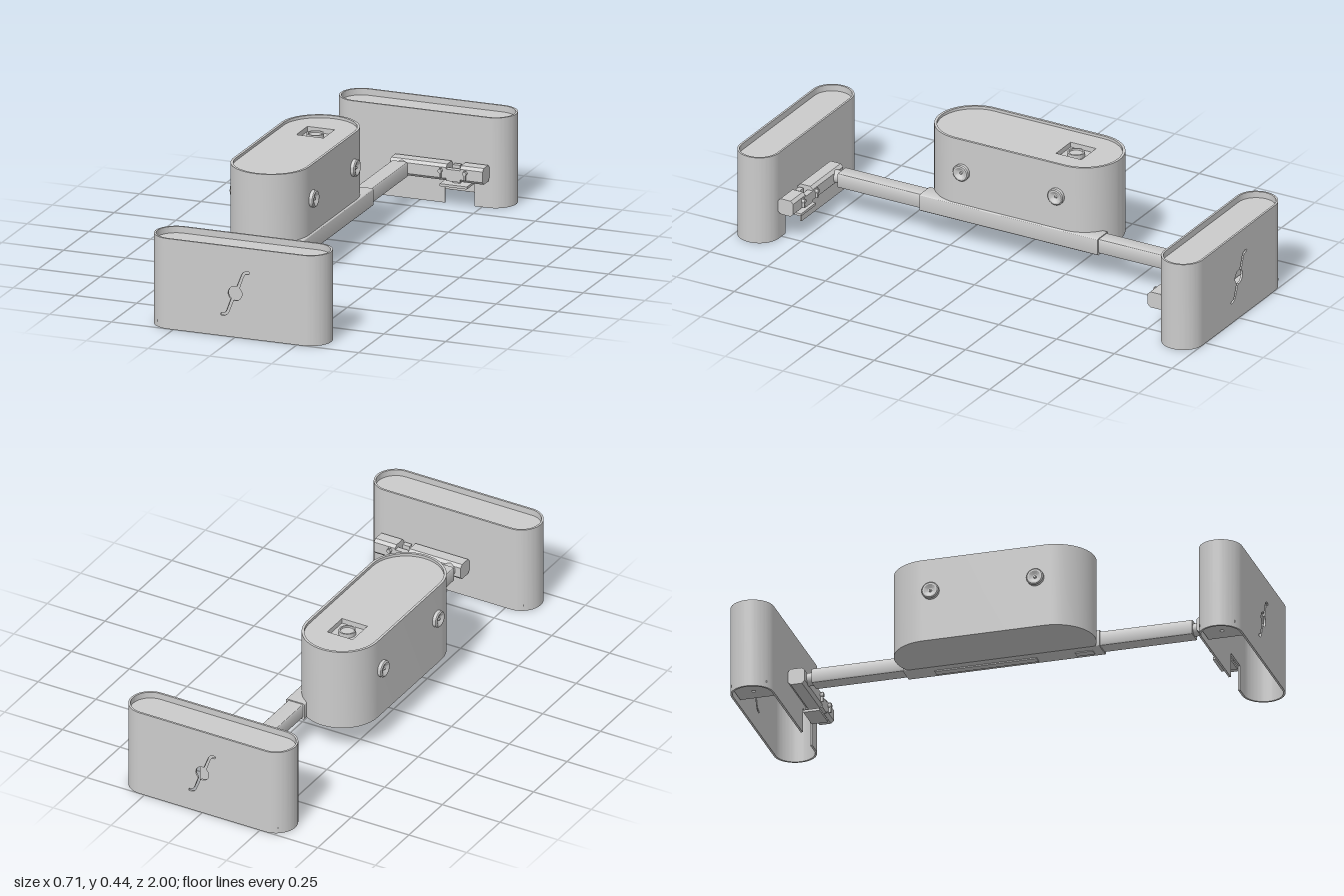
import * as THREE from 'three';
import { toCreasedNormals } from 'three/addons/utils/BufferGeometryUtils.js';

const material = new THREE.MeshStandardMaterial({ color: 0xcccccc });

function addMesh(parent, name, geometry, x = 0, y = 0, z = 0) {
  const mesh = new THREE.Mesh(geometry, material);
  mesh.name = name;
  mesh.position.set(x, y, z);
  parent.add(mesh);
  return mesh;
}

// Box given by its extents
function addBox(parent, name, x0, x1, y0, y1, z0, z1) {
  const g = new THREE.BoxGeometry(x1 - x0, y1 - y0, Math.abs(z1 - z0));
  return addMesh(parent, name, g, (x0 + x1) / 2, (y0 + y1) / 2, (z0 + z1) / 2);
}

function extrude(shape, depth) {
  const g = new THREE.ExtrudeGeometry(shape, { depth, bevelEnabled: false, curveSegments: 24 });
  return toCreasedNormals(g, 0.6);
}

// Extrudes a plan outline upwards from y = 0
const extrudeUp = (shape, height) => extrude(shape, height).rotateX(-Math.PI / 2);

// Plan outline with round ends along x; h is half the straight length
function stadium(h, r, PathType = THREE.Shape) {
  const s = new PathType();
  s.moveTo(-h, -r);
  s.lineTo(h, -r);
  s.absarc(h, 0, r, -Math.PI / 2, Math.PI / 2, false);
  s.lineTo(-h, r);
  s.absarc(-h, 0, r, Math.PI / 2, Math.PI * 1.5, false);
  return s;
}

// Half ring in plan, opening towards -x
function halfRing(R, r) {
  const s = new THREE.Shape();
  s.moveTo(0, -R);
  s.absarc(0, 0, R, -Math.PI / 2, Math.PI / 2, false);
  s.lineTo(0, r);
  s.absarc(0, 0, r, Math.PI / 2, -Math.PI / 2, true);
  return s;
}

// Round hole with two curled arms, point symmetric about its centre
function curledHole(flip) {
  const half = [];
  for (let i = 0; i <= 12; i++) {
    const a = THREE.MathUtils.degToRad(-103 + i * 13);
    half.push([0.028 * Math.cos(a), 0.028 * Math.sin(a)]);
  }
  half.push([0.034, 0.07], [0.039, 0.078], [0.046, 0.081], [0.056, 0.082], [0.059, 0.087],
    [0.056, 0.092], [0.043, 0.091], [0.033, 0.086], [0.026, 0.076], [0.007, 0.028]);
  const all = [...half, ...half.map(([x, y]) => [-x, -y])];
  return new THREE.Path(all.map(([x, y]) => new THREE.Vector2(flip * x, 0.172 + y)));
}

const H = 0.355, HALF = 0.272, R = 0.083, WALL = 0.008, MID = 0.917;

// End pod: open-bottomed shell with a recessed lid
function makePod(sign) {
  const pod = new THREE.Group();
  pod.name = sign > 0 ? 'frontPod' : 'backPod';
  const zc = sign * MID;

  const outer = new THREE.Shape();
  outer.moveTo(-HALF, 0).lineTo(HALF, 0).lineTo(HALF, H).lineTo(-HALF, H).closePath();
  outer.holes.push(curledHole(sign));
  addMesh(pod, 'outerWall', extrude(outer, WALL), 0, 0, sign > 0 ? 1 - WALL : -1);

  const inner = new THREE.Shape([[-HALF, 0], [0.1, 0], [0.1, 0.1], [0.22, 0.1], [0.22, 0],
    [HALF, 0], [HALF, H], [-HALF, H]].map(p => new THREE.Vector2(...p)));
  addMesh(pod, 'innerWall', extrude(inner, WALL), 0, 0, sign > 0 ? MID - R : -MID + R - WALL);

  for (const side of [1, -1]) {
    const end = addMesh(pod, 'roundEnd', extrudeUp(halfRing(R, R - WALL), H), side * HALF, 0, zc);
    if (side < 0) end.rotation.y = Math.PI;
  }
  addMesh(pod, 'lid', extrudeUp(stadium(HALF, R - WALL / 2), 0.01), 0, 0.32, zc);

  // Small plate inside one lower end
  const plate = new THREE.Shape();
  plate.moveTo(-0.32, -0.07).lineTo(-0.2, -0.07).lineTo(-0.2, 0.07).lineTo(-0.32, 0.07).closePath();
  const screwHole = new THREE.Path();
  screwHole.absarc(-0.26, 0, 0.008, 0, Math.PI * 2, true);
  plate.holes.push(screwHole);
  addMesh(pod, 'basePlate', extrudeUp(plate, 0.008), 0, 0.02, zc);
  return pod;
}

// Chamfered rail along x that joins a pod to the beam
function makeBracket(sign) {
  const bracket = new THREE.Group();
  bracket.name = sign > 0 ? 'frontBracket' : 'backBracket';
  const a = 0.033, b = 0.032, c = 0.011;
  const profile = new THREE.Shape([[-a + c, -b], [a - c, -b], [a, -b + c], [a, b - c],
    [a - c, b], [-a + c, b], [-a, b - c], [-a, -b + c]].map(p => new THREE.Vector2(...p)));
  const zc = sign * 0.8;
  for (const [x0, x1] of [[-0.095, 0.132], [0.188, 0.28]]) {
    addMesh(bracket, 'rail', extrude(profile, x1 - x0).rotateY(Math.PI / 2), x0, 0.14, zc);
  }
  addBox(bracket, 'railBridge', 0.132, 0.188, 0.109, 0.155, sign * 0.767, sign * 0.79);
  addBox(bracket, 'latchFloor', 0.132, 0.188, 0.109, 0.13, sign * 0.79, sign * 0.834);

  // Latch with a finger tab below the rail
  addBox(bracket, 'latchStem', 0.145, 0.175, 0.09, 0.165, sign * 0.8, sign * 0.82);
  addBox(bracket, 'latchTab', 0.105, 0.215, 0.084, 0.094, sign * 0.77, sign * 0.834);

  // Two keyed pins on the inner face
  for (const x of [0.11, 0.21]) {
    const pin = new THREE.CylinderGeometry(0.008, 0.008, 0.016, 16).rotateX(Math.PI / 2);
    addMesh(bracket, 'pin', pin, x, 0.148, sign * 0.762);
    addBox(bracket, 'pinKey', x - 0.003, x + 0.003, 0.12, 0.16, sign * 0.757, sign * 0.768);
  }

  // Neck between beam and rail
  const neck = new THREE.CylinderGeometry(0.025, 0.025, 0.05, 24).rotateX(Math.PI / 2);
  addMesh(bracket, 'neck', neck, -0.047, 0.142, sign * 0.755);
  return bracket;
}

// Square tube along z with softened long edges
function tube(w, h, length) {
  const r = 0.008, x = w / 2, y = h / 2, s = new THREE.Shape();
  s.moveTo(-x + r, -y);
  s.lineTo(x - r, -y).quadraticCurveTo(x, -y, x, -y + r);
  s.lineTo(x, y - r).quadraticCurveTo(x, y, x - r, y);
  s.lineTo(-x + r, y).quadraticCurveTo(-x, y, -x, y - r);
  s.lineTo(-x, -y + r).quadraticCurveTo(-x, -y, -x + r, -y);
  return extrude(s, length).translate(0, 0, -length / 2);
}

function makeBeam() {
  const beam = new THREE.Group();
  beam.name = 'beam';
  addMesh(beam, 'sleeve', tube(0.08, 0.069, 0.77), -0.046, 0.141, 0);
  for (const s of [1, -1]) {
    addMesh(beam, 'slidingArm', tube(0.066, 0.059, 0.38), -0.047, 0.142, s * 0.555);
  }
  addBox(beam, 'underPlate', -0.06, -0.03, 0.102, 0.11, -0.27, 0.13);
  addBox(beam, 'stopPlate', -0.06, -0.03, 0.103, 0.11, 0.28, 0.35);
  return beam;
}

// Central housing with round ends along z
function makeHousing() {
  const housing = new THREE.Group();
  housing.name = 'housing';
  const half = 0.2375, r = 0.1525, wall = 0.01, y0 = 0.11, top = 0.443;

  const ring = stadium(half, r);
  ring.holes.push(stadium(half, r - wall, THREE.Path));
  addMesh(housing, 'shell', extrudeUp(ring, top - y0), 0, y0, 0);
  addMesh(housing, 'bottom', extrudeUp(stadium(half, r - wall / 2), 0.01), 0, y0, 0);

  // Recessed lid with a square well holding a round socket
  const lid = stadium(half, r - wall / 2), wx = 0.2, w = 0.055;
  const well = new THREE.Path();
  well.moveTo(wx - w, -w).lineTo(wx - w, w).lineTo(wx + w, w).lineTo(wx + w, -w).closePath();
  lid.holes.push(well);
  addMesh(housing, 'lid', extrudeUp(lid, 0.022), 0, 0.41, 0);
  addBox(housing, 'wellFloor', wx - w, wx + w, 0.405, 0.412, -w, w);
  const socket = [[0, 0.012], [0.026, 0.012], [0.027, 0.018], [0.033, 0.018], [0.033, 0]];
  addMesh(housing, 'socket', toCreasedNormals(new THREE.LatheGeometry(
    socket.map(p => new THREE.Vector2(...p)).reverse(), 32), 0.6), wx, 0.411, 0);

  // Dished knobs on both long sides
  const knob = [[0.033, -0.004], [0.033, 0.013], [0.029, 0.017], [0.023, 0.017],
    [0.01, 0.008], [0.006, 0.008], [0.004, 0.014], [0, 0.014]];
  for (const side of [1, -1]) {
    for (const x of [-0.205, 0.205]) {
      const g = toCreasedNormals(new THREE.LatheGeometry(
        knob.map(p => new THREE.Vector2(...p)), 32), 0.6);
      addMesh(housing, 'knob', g.rotateX(side * Math.PI / 2), x, 0.31, side * r);
    }
  }
  housing.rotation.y = Math.PI / 2;
  housing.position.x = -0.165;
  return housing;
}

export function createModel() {
  const model = new THREE.Group();
  model.name = 'adjustableStand';
  for (const sign of [1, -1]) model.add(makePod(sign), makeBracket(sign));
  model.add(makeBeam(), makeHousing());
  return model;
}
